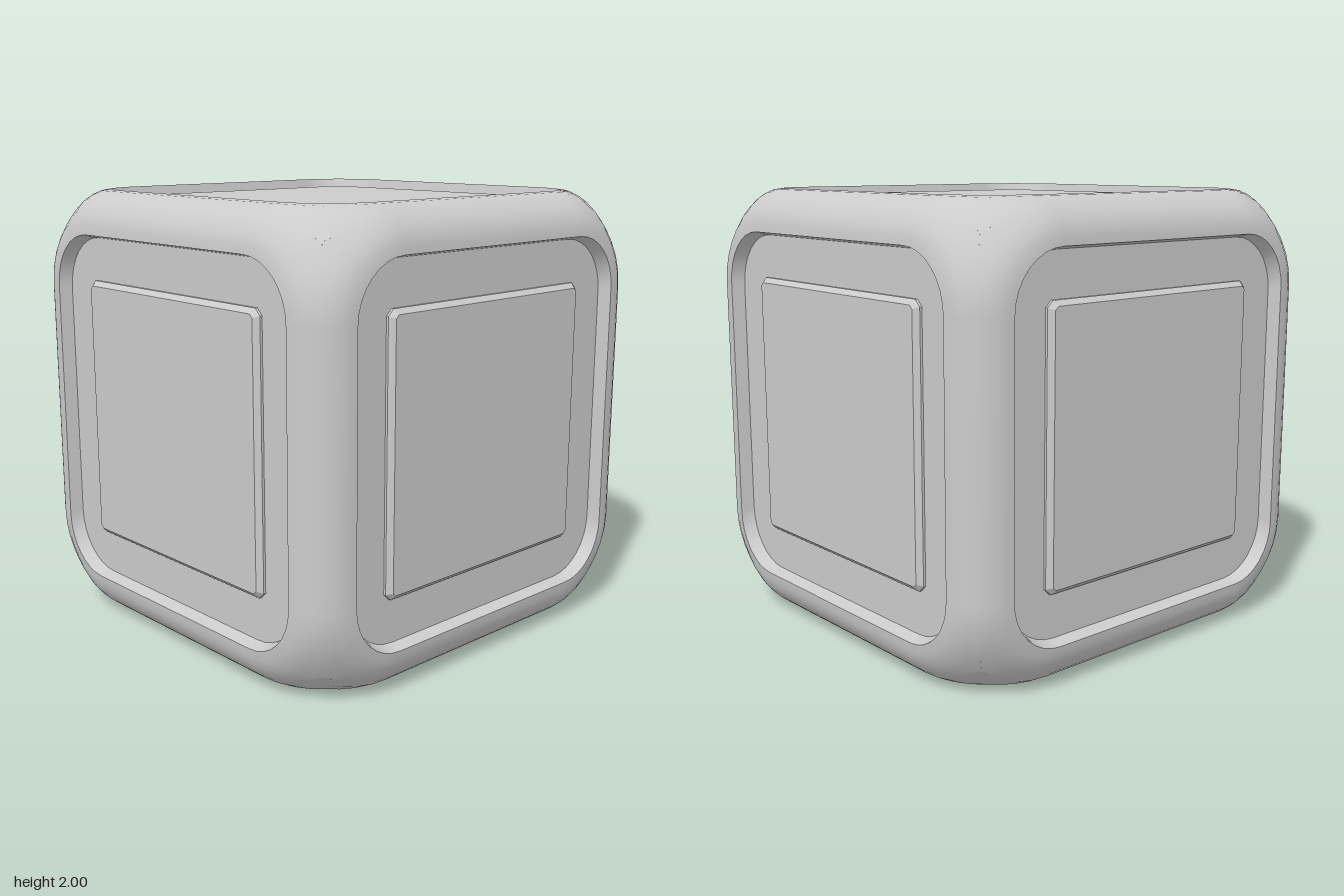
import * as THREE from 'three';
import { mergeGeometries, mergeVertices } from 'three/addons/utils/BufferGeometryUtils.js';

const LIP = 0.81;          // half width of the recess at its lip
const FLOOR = 0.795;       // half width of the recess floor
const RADIUS = 0.25;       // corner radius of the recess
const DEPTH = 0.06;        // recess depth
const CORNER_STEPS = 8;    // steps around each recess corner (even)
const ROUND_STEPS = 4;     // steps from lip to the middle of a cube edge
const V = (x, y, z) => new THREE.Vector3(x, y, z);

// Ridge running from the middle of a cube edge to the cube corner
const ridge = new THREE.QuadraticBezierCurve(
  new THREE.Vector2(1.335, LIP - RADIUS), new THREE.Vector2(1.335, 0.725), new THREE.Vector2(1.232, 0.871));

// Point i on the first quarter of a rounded square
function arcPoint(half, z, i) {
  const t = (i / CORNER_STEPS) * Math.PI / 2;
  const c = half - RADIUS;
  return V(c + RADIUS * Math.cos(t), c + RADIUS * Math.sin(t), z);
}

// Cross-section of the rounded frame, from the lip out to the ridge
function frameSection(i) {
  if (i > CORNER_STEPS / 2) {
    return frameSection(CORNER_STEPS - i).map(p => V(p.y, p.x, p.z));
  }
  const s = i / (CORNER_STEPS / 2);
  const angle = s * Math.PI / 4;
  const start = arcPoint(LIP, 1, i);
  const r = ridge.getPoint(s), d = ridge.getTangent(s);
  const end = V(r.x / Math.SQRT2, r.y, r.x / Math.SQRT2);
  const normal = V(d.y / Math.SQRT2, -d.x, d.y / Math.SQRT2);
  const out = V(Math.cos(angle), Math.sin(angle), 0);
  const reach = end.clone().sub(start).dot(normal) / out.dot(normal);
  const control = start.clone().addScaledVector(out, reach);
  return new THREE.QuadraticBezierCurve3(start, control, end).getPoints(ROUND_STEPS);
}

// Wall of the recess, from floor to lip
const wallSection = i => [arcPoint(FLOOR, 1 - DEPTH, i), arcPoint(LIP, 1, i)];

// Closed ring made of one section function repeated in four quarters
function ringGeometry(section) {
  const positions = [], index = [];
  const zAxis = V(0, 0, 1);
  const count = 4 * (CORNER_STEPS + 1);
  let n = 0;
  for (let q = 0; q < 4; q++) {
    for (let i = 0; i <= CORNER_STEPS; i++) {
      const points = section(i);
      n = points.length;
      points.forEach(p => positions.push(...p.applyAxisAngle(zAxis, q * Math.PI / 2).toArray()));
    }
  }
  for (let i = 0; i < count; i++) {
    const k = (i + 1) % count;
    for (let j = 0; j < n - 1; j++) {
      const a = i * n + j, b = a + 1, d = k * n + j, c = d + 1;
      index.push(a, b, c, a, c, d);
    }
  }
  const g = new THREE.BufferGeometry();
  g.setAttribute('position', new THREE.Float32BufferAttribute(positions, 3));
  g.setIndex(index);
  g.computeVertexNormals();
  return g;
}

// Recess floor
function floorGeometry() {
  const points = [];
  for (let q = 0; q < 4; q++) {
    for (let i = 0; i <= CORNER_STEPS; i++) {
      const p = arcPoint(FLOOR, 0, i).applyAxisAngle(V(0, 0, 1), q * Math.PI / 2);
      points.push(new THREE.Vector2(p.x, p.y));
    }
  }
  return new THREE.ShapeGeometry(new THREE.Shape(points)).translate(0, 0, 1 - DEPTH);
}

// Raised square panel with chamfered edges and clipped corners
function panelGeometry() {
  const bevel = 0.022, h = 0.6 - bevel, c = h - 0.015;
  const outline = [[h, -c], [h, c], [c, h], [-c, h], [-h, c], [-h, -c], [-c, -h], [c, -h]];
  const shape = new THREE.Shape(outline.map(([x, y]) => new THREE.Vector2(x, y)));
  const g = new THREE.ExtrudeGeometry(shape, {
    depth: 0.04, bevelEnabled: true, bevelSegments: 1, bevelSize: bevel, bevelThickness: bevel,
  });
  return g.translate(0, 0, 1 - DEPTH + 0.033 - 0.04 - bevel);
}

export function createModel() {
  const model = new THREE.Group();
  model.name = 'panelledCube';
  const material = new THREE.MeshStandardMaterial({ color: 0xcccccc });
  const add = (parent, name, geometry) => {
    const mesh = new THREE.Mesh(geometry, material);
    mesh.name = name;
    parent.add(mesh);
  };

  const H = Math.PI / 2;
  const sides = {
    front: [0, 0], left: [0, H], back: [0, 2 * H], right: [0, -H], top: [-H, 0], bottom: [H, 0],
  };
  const wall = ringGeometry(wallSection), floor = floorGeometry(), panel = panelGeometry();
  const frames = [];

  for (const [name, [rx, ry]] of Object.entries(sides)) {
    const side = new THREE.Group();
    side.name = name + 'Side';
    side.rotation.set(rx, ry, 0);
    side.position.y = 1;
    add(side, 'recessWall', wall);
    add(side, 'recessFloor', floor);
    add(side, 'raisedPanel', panel);
    model.add(side);

    const frame = ringGeometry(frameSection);
    frame.deleteAttribute('normal');
    frames.push(frame.rotateX(rx).rotateY(ry).translate(0, 1, 0));
  }

  // Rounded outer frame, welded so its shading is smooth across all edges
  const shell = mergeVertices(mergeGeometries(frames), 1e-4);
  shell.computeVertexNormals();
  add(model, 'roundedFrame', shell);
  return model;
}
